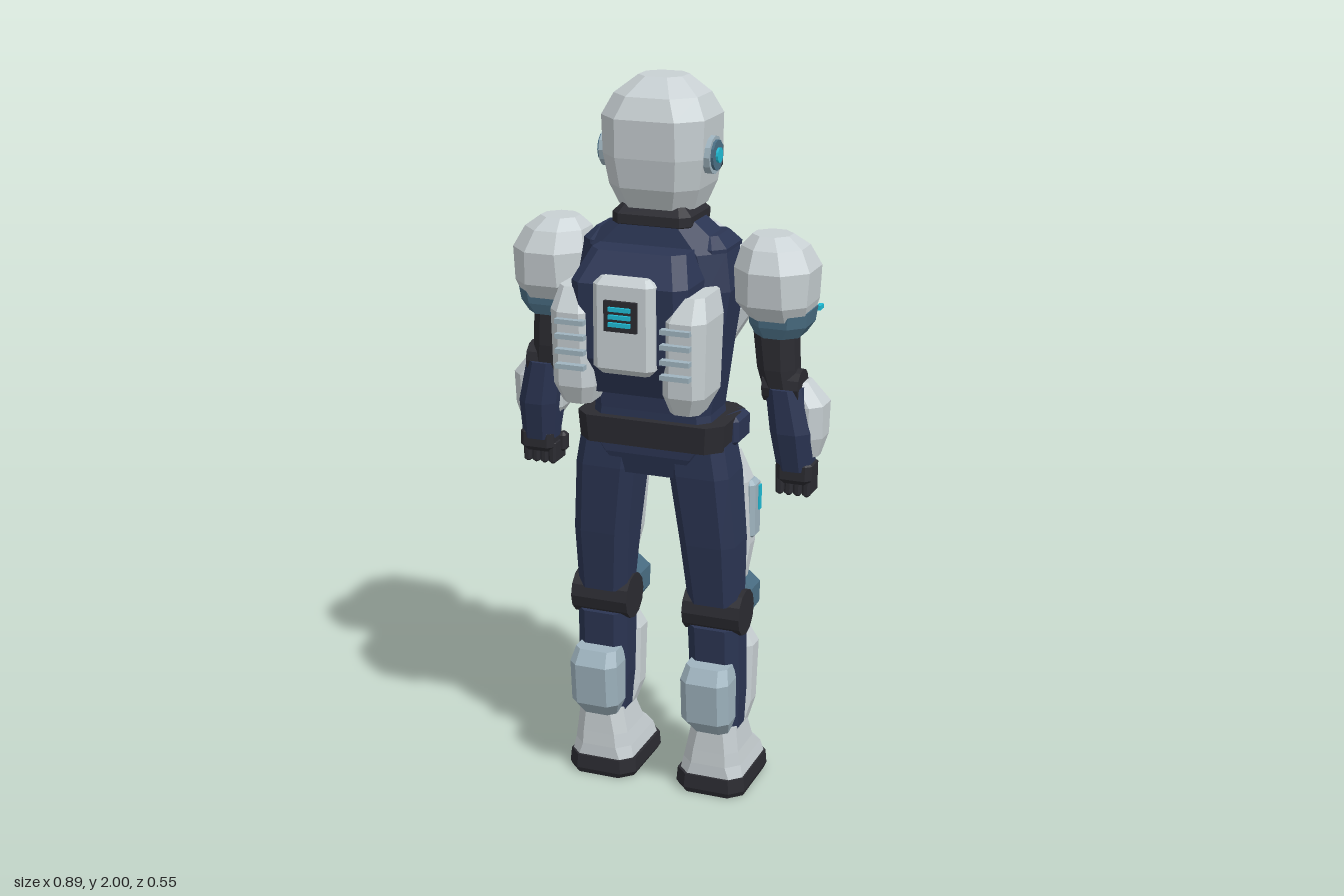
import * as THREE from 'three';

const paint = (name, color) => {
  const m = new THREE.MeshStandardMaterial({ color, flatShading: true });
  m.name = name;
  return m;
};

export function createModel() {
  const root = new THREE.Group();
  root.name = 'armouredFigure';
  const white = paint('armourWhite', 0xc8d0d3), pale = paint('paleSteel', 0x9fb4bf);
  const steel = paint('blueSteel', 0x4b6f85), navy = paint('navySuit', 0x2b3553);
  const black = paint('blackRubber', 0x2b2b31), cyan = paint('cyanLight', 0x20bcd6);

  const add = (name, geo, mat) => {
    const mesh = new THREE.Mesh(geo, mat);
    mesh.name = name;
    root.add(mesh);
    return mesh;
  };

  // Stack of chamfered rectangles, bottom to top: [y, x0, x1, z0, z1, chamfer]
  const loft = (name, mat, secs, s = 1) => {
    const pos = [], idx = [];
    for (const [y, a, b, z0, z1, c = 0.03] of secs) {
      const x0 = Math.min(a * s, b * s), x1 = Math.max(a * s, b * s);
      const ring = [[x1, z0 + c], [x1, z1 - c], [x1 - c, z1], [x0 + c, z1],
        [x0, z1 - c], [x0, z0 + c], [x0 + c, z0], [x1 - c, z0]];
      for (const [x, z] of ring) pos.push(x, y, z);
    }
    const top = (secs.length - 1) * 8;
    for (let k = 0; k < top; k += 8) {
      for (let i = 0; i < 8; i++) {
        const j = (i + 1) % 8;
        idx.push(k + i, k + 8 + i, k + j, k + j, k + 8 + i, k + 8 + j);
      }
    }
    for (let i = 1; i < 7; i++) idx.push(0, i, i + 1, top, top + i + 1, top + i);
    const geo = new THREE.BufferGeometry();
    geo.setAttribute('position', new THREE.Float32BufferAttribute(pos, 3));
    geo.setIndex(idx);
    const flat = geo.toNonIndexed();
    flat.computeVertexNormals();
    return add(name, flat, mat);
  };

  // Bevelled block given by its ranges
  const pad = (name, mat, [x0, x1], [y0, y1], [z0, z1], b = 0.015, s = 1) => loft(name, mat, [
    [y0, x0 + b, x1 - b, z0 + b, z1 - b, b / 2], [y0 + b, x0, x1, z0, z1, b],
    [y1 - b, x0, x1, z0, z1, b], [y1, x0 + b, x1 - b, z0 + b, z1 - b, b / 2]], s);

  const box = (name, mat, x, y, z, w, h, d, rz = 0) => {
    const m = add(name, new THREE.BoxGeometry(w, h, d), mat);
    m.position.set(x, y, z);
    m.rotation.z = rz;
    return m;
  };

  // Disc facing sideways
  const disc = (name, mat, x, y, z, r, len, n = 12) => {
    const m = add(name, new THREE.CylinderGeometry(r, r, len, n), mat);
    m.rotation.z = Math.PI / 2;
    m.position.set(x, y, z);
  };

  // Helmet, visor and neck
  loft('helmet', white, [
    [1.665, -.105, .105, -.14, .05, .045], [1.72, -.125, .125, -.165, .075, .05],
    [1.8, -.138, .138, -.172, .09, .055], [1.9, -.142, .142, -.172, .095, .06],
    [1.955, -.115, .115, -.148, .07, .055], [2.0, -.06, .06, -.105, .01, .03]]);
  loft('helmetBrow', white, [
    [1.865, -.13, .13, -.18, 0, .05], [1.89, -.13, .13, -.187, 0, .05], [1.92, -.115, .115, -.165, 0, .045]]);
  loft('visorFrame', black, [
    [1.735, -.11, .11, -.19, -.1, .02], [1.75, -.118, .118, -.198, -.1, .025],
    [1.865, -.118, .118, -.2, -.1, .025], [1.88, -.11, .11, -.195, -.1, .02]]);
  loft('visorGlass', cyan, [[1.755, -.098, .098, -.204, -.17, .012], [1.86, -.098, .098, -.206, -.17, .012]]);
  pad('chinGuard', pale, [-.06, .06], [1.68, 1.72], [-.178, -.13], .012);
  pad('neck', black, [-.11, .11], [1.6, 1.675], [-.125, .065], .025);

  // Torso and pelvis
  loft('torso', navy, [
    [1.0, -.18, .18, -.11, .07], [1.12, -.165, .165, -.11, .065], [1.3, -.19, .19, -.12, .072, .04],
    [1.46, -.215, .215, -.13, .08, .05], [1.56, -.2, .2, -.14, .08, .06], [1.635, -.11, .11, -.11, .06, .04]]);
  loft('pelvis', navy, [
    [.94, -.11, .11, -.1, .06], [1.0, -.15, .15, -.12, .075], [1.06, -.19, .19, -.13, .075]]);
  loft('belt', black, [[1.025, -.205, .205, -.15, .085, .04], [1.1, -.21, .21, -.155, .09, .04]]);
  pad('buckle', pale, [-.05, .05], [1.03, 1.09], [-.185, -.14], .012);
  box('buckleLight', cyan, 0, 1.06, -.187, .05, .02, .008);
  loft('abdomenPlate', steel, [
    [1.1, -.1, .1, -.155, -.05, .03], [1.14, -.125, .125, -.172, -.05, .035], [1.22, -.14, .14, -.175, -.05, .04]]);

  // Chest armour
  loft('chestPlate', white, [
    [1.17, -.1, .1, -.18, -.06, .03], [1.25, -.145, .145, -.208, -.06, .045],
    [1.38, -.225, .225, -.238, -.06, .07], [1.49, -.235, .235, -.236, -.06, .07],
    [1.56, -.18, .18, -.2, -.06, .06], [1.605, -.12, .12, -.165, -.08, .035]]);
  loft('chestBoss', white, [
    [1.41, -.025, .025, -.25, -.2, .01], [1.45, -.055, .055, -.262, -.2, .015],
    [1.52, -.055, .055, -.258, -.19, .015], [1.55, -.035, .035, -.22, -.18, .01]]);
  box('chestSocket', navy, 0, 1.485, -.265, .045, .055, .01);
  box('chestLight', cyan, 0, 1.487, -.272, .028, .035, .012);

  // Backpack
  loft('backpackCore', navy, [
    [1.2, -.15, .15, .04, .18, .03], [1.3, -.16, .16, .04, .22, .03],
    [1.5, -.16, .16, .04, .225, .03], [1.575, -.13, .13, .03, .16, .03]]);
  pad('backpackPanel', white, [-.085, .085], [1.27, 1.525], [.19, .25], .018);
  box('packScreen', black, 0, 1.43, .254, .09, .08, .012);
  for (let i = -1; i <= 1; i++) box('packScreenLight', cyan, 0, 1.43 + i * .02, .263, .06, .011, .01);

  for (const s of [1, -1]) {
    // Ear discs
    disc('earHousing', pale, s * .143, 1.805, -.02, .05, .02);
    disc('earRing', steel, s * .152, 1.805, -.02, .04, .016);
    disc('earLight', cyan, s * .16, 1.805, -.02, .02, .012);

    // Chest panels, vents, collar and belt pouches
    loft('pectoralPlate', white, [
      [1.38, .07, .17, -.245, -.19, .015], [1.42, .03, .205, -.258, -.19, .02],
      [1.49, .06, .215, -.258, -.19, .02], [1.52, .08, .19, -.235, -.19, .015]], s);
    box('chestVent', navy, s * .13, 1.462, -.262, .12, .024, .01, s * .12);
    box('chestVentLight', cyan, s * .13, 1.432, -.261, .06, .009, .008, s * .12);
    pad('collarPlate', navy, [.1, .2], [1.53, 1.6], [-.13, .05], .03, s);
    pad('beltPouch', navy, [.09, .165], [1.015, 1.095], [-.19, -.12], .015, s);
    pad('hipPouch', navy, [.17, .222], [1.02, 1.1], [-.13, -.02], .012, s);

    // Backpack pods
    loft('backpackPod', white, [
      [1.17, .11, .19, .11, .21, .02], [1.22, .095, .21, .06, .23, .025],
      [1.42, .095, .215, .05, .238, .03], [1.48, .12, .2, .05, .2, .02]], s);
    for (let i = 0; i < 4; i++) box('podRib', pale, s * .145, 1.28 + i * .04, .243, .08, .013, .022);
    pad('podNozzle', steel, [.12, .18], [1.165, 1.185], [.12, .2], .008, s);

    // Shoulder and upper arm
    loft('shoulderPad', white, [
      [1.385, .25, .4, -.145, .02, .04], [1.43, .218, .412, -.165, .05, .05],
      [1.52, .212, .418, -.17, .058, .06], [1.575, .225, .39, -.145, .03, .05],
      [1.605, .25, .35, -.105, -.005, .03]], s);
    loft('shoulderBand', steel, [
      [1.34, .265, .385, -.13, .01, .035], [1.37, .25, .405, -.145, .02, .04], [1.41, .25, .41, -.15, .025, .04]], s);
    box('shoulderVent', navy, s * .315, 1.5, -.17, .075, .035, .014);
    box('shoulderLight', cyan, s * .315, 1.5, -.178, .045, .012, .01);
    box('shoulderSideLight', cyan, s * .408, 1.4, -.13, .012, .012, .03);
    loft('upperArm', black, [
      [1.17, .29, .385, -.115, -.01], [1.25, .27, .375, -.11, .0], [1.38, .255, .37, -.11, .0]], s);
    disc('elbowJoint', black, s * .34, 1.2, -.055, .048, .1);

    // Forearm and hand
    loft('forearm', navy, [
      [.97, .325, .42, -.11, -.02, .025], [1.08, .31, .42, -.125, .005], [1.2, .295, .395, -.12, .005]], s);
    loft('forearmGuard', white, [
      [1.005, .34, .43, -.125, -.045, .025], [1.06, .305, .445, -.15, -.03, .03],
      [1.15, .295, .447, -.153, -.025, .03], [1.21, .3, .4, -.13, -.04, .025]], s);
    box('forearmSlot', navy, s * .375, 1.13, -.153, .07, .014, .008);
    box('forearmLight', cyan, s * .375, 1.105, -.153, .05, .008, .008);
    pad('palm', black, [.325, .425], [.93, 1.0], [-.11, -.025], .015, s);
    for (let i = 0; i < 4; i++) {
      pad('finger', black, [.322 + i * .025, .344 + i * .025], [.895, .96], [-.118, -.04], .006, s);
    }
    pad('thumb', black, [.308, .335], [.92, .975], [-.115, -.08], .008, s);

    // Thigh
    loft('thigh', navy, [
      [.57, .09, .235, -.09, .03], [.75, .075, .235, -.1, .055],
      [.95, .05, .22, -.1, .072], [1.04, .04, .205, -.09, .07]], s);
    loft('thighPlate', white, [
      [.62, .11, .225, -.135, -.05, .025], [.72, .09, .238, -.165, -.055, .035],
      [.9, .075, .23, -.172, -.05, .035], [.985, .1, .2, -.14, -.06, .025]], s);
    pad('thighSidePanel', pale, [.2, .247], [.73, .9], [-.155, -.09], .012, s);
    box('thighLight', cyan, s * .247, .845, -.135, .008, .07, .018);

    // Knee
    disc('kneeJoint', black, s * .165, .54, -.035, .065, .166);
    loft('kneePad', steel, [
      [.49, .11, .22, -.165, -.07, .02], [.52, .09, .24, -.2, -.07, .03],
      [.58, .09, .24, -.205, -.07, .03], [.615, .11, .22, -.17, -.07, .02]], s);
    box('kneeSlot', navy, s * .165, .55, -.205, .07, .022, .008);

    // Shin and calf
    loft('lowerLeg', navy, [
      [.17, .105, .235, -.1, .02], [.3, .095, .24, -.1, .02], [.5, .09, .238, -.1, .03]], s);
    loft('shinGuard', white, [
      [.17, .11, .23, -.12, -.04, .02], [.25, .085, .25, -.158, -.045, .035],
      [.42, .083, .253, -.168, -.05, .035], [.475, .11, .225, -.145, -.06, .025]], s);
    for (let i = 0; i < 3; i++) {
      box('shinSlot', i === 2 ? cyan : navy, s * .168, .285 + i * .035, -.165, .07, .012, .012);
    }
    loft('calfPlate', pale, [
      [.195, .115, .22, -.02, .045, .02], [.24, .095, .235, -.02, .085, .025],
      [.36, .095, .235, -.02, .095, .025], [.4, .105, .225, -.02, .07, .02]], s);

    // Boot
    loft('boot', white, [
      [.05, .072, .258, -.212, .035, .03], [.09, .08, .25, -.205, .035, .035],
      [.13, .09, .243, -.15, .033, .03], [.205, .105, .235, -.12, .03, .03]], s);
    loft('sole', black, [
      [0, .07, .26, -.212, .04, .035], [.015, .062, .265, -.22, .045, .035], [.055, .065, .262, -.218, .042, .035]], s);
  }
  return root;
}
